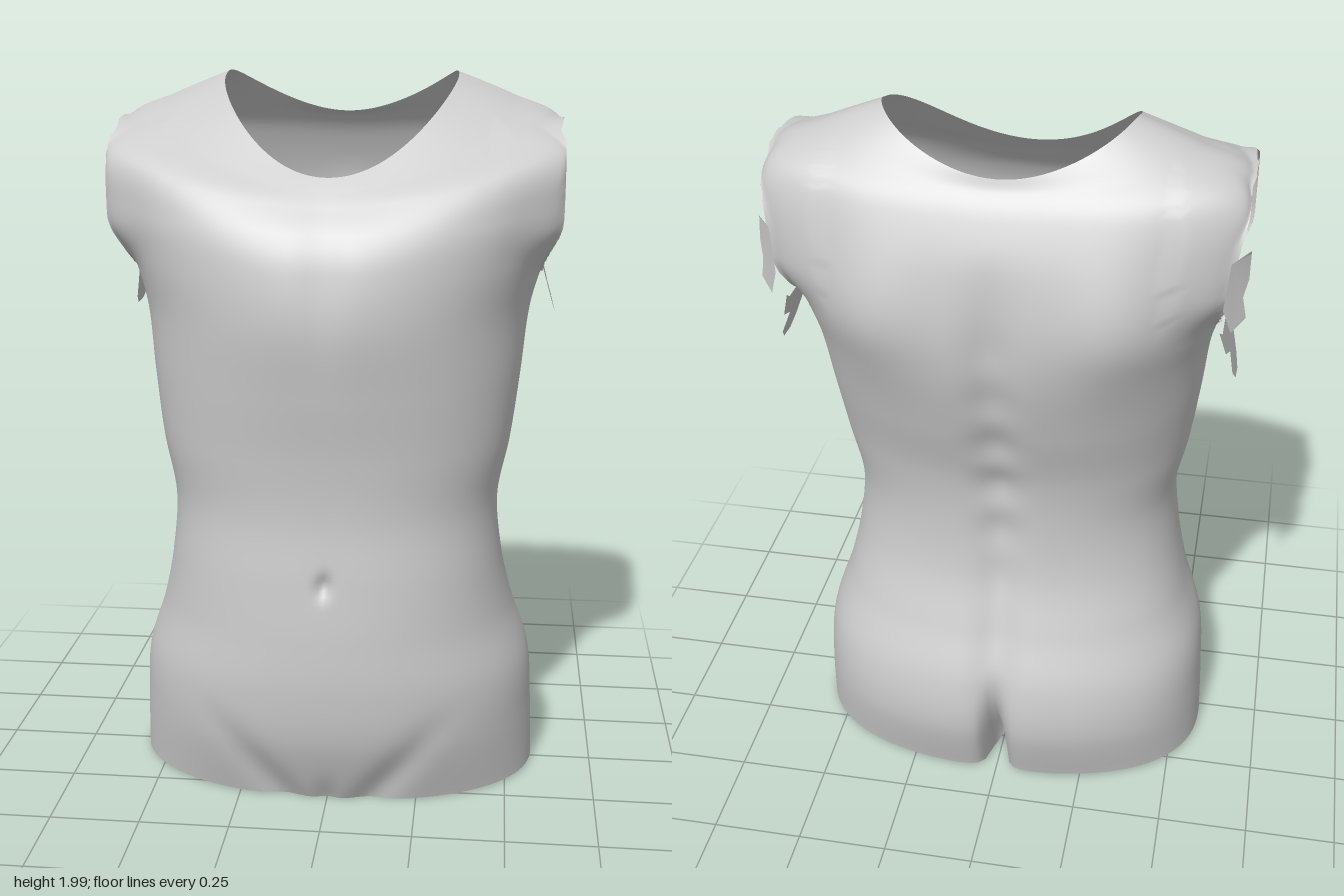
import * as THREE from 'three';

// Key rings, bottom to neck rim:
// [y front, y side, y back, half width, z front, z back, z of widest point, front roundness, back roundness]
const RINGS = [
  [0.012, 0.02, 0.02, 0.577, 0.32, -0.395, -0.03, 2.2, 2.4],
  [0.2, 0.2, 0.2, 0.57, 0.39, -0.443, -0.03, 2.2, 2.4],
  [0.36, 0.36, 0.36, 0.557, 0.413, -0.433, -0.02, 2.2, 2.4],
  [0.52, 0.52, 0.52, 0.505, 0.412, -0.375, 0.0, 2.2, 2.4],
  [0.68, 0.68, 0.68, 0.47, 0.4, -0.326, 0.02, 2.3, 2.4],
  [0.85, 0.85, 0.85, 0.456, 0.387, -0.315, 0.03, 2.3, 2.4],
  [1.02, 1.02, 1.02, 0.487, 0.398, -0.333, 0.02, 2.3, 2.4],
  [1.2, 1.2, 1.2, 0.51, 0.426, -0.387, 0.0, 2.2, 2.4],
  [1.38, 1.38, 1.38, 0.53, 0.452, -0.432, -0.02, 2.1, 2.5],
  [1.52, 1.53, 1.53, 0.57, 0.438, -0.442, -0.04, 2.2, 2.7],
  [1.61, 1.7, 1.68, 0.603, 0.403, -0.42, -0.06, 2.35, 2.8],
  [1.68, 1.87, 1.8, 0.605, 0.345, -0.375, -0.08, 2.45, 2.8],
  [1.72, 1.94, 1.86, 0.47, 0.305, -0.335, -0.1, 2.1, 2.5],
  [1.75, 2.0, 1.88, 0.32, 0.272, -0.3, -0.1, 1.9, 2.4],
];
const COLUMNS = 200, STEPS = 12, PEAK = -0.25;
const bump = (d, w) => Math.exp(-((d / w) ** 2));
const rise = THREE.MathUtils.smoothstep;

// Smooth blend between neighbouring key rings
function ringAt(t) {
  const last = RINGS.length - 1, k = Math.min(Math.floor(t), last - 1), f = t - k;
  const [p, q, r, s] = [k - 1, k, k + 1, k + 2].map((i) => RINGS[THREE.MathUtils.clamp(i, 0, last)]);
  return q.map((v, i) => {
    const m0 = (r[i] - p[i]) / 2, m1 = (s[i] - v) / 2;
    return v + f * (m0 + f * (3 * (r[i] - v) - 2 * m0 - m1 + f * (2 * (v - r[i]) + m0 + m1)));
  });
}

// Body relief: spine, shoulder blades, cleft, navel, chest and groin folds (positive pushes inward)
function relief(x, y, front) {
  const ax = Math.abs(x);
  if (front) {
    const navel = 0.022 * bump(x, 0.018) * bump(y - 0.68, 0.03);
    const chest = 0.01 * bump(x, 0.06) * bump(y - 1.5, 0.2);
    const groin = 0.02 * bump(ax - 0.11 - 0.7 * y, 0.06) * (1 - rise(y, 0.05, 0.36));
    const crotch = 0.015 * bump(x, 0.03) * bump(y, 0.07);
    return navel + chest + groin + crotch;
  }
  const ripple = 0.006 * Math.cos(y * 38) * bump(y - 1.05, 0.3);
  const spine = (0.024 + ripple) * bump(x, 0.06) * (1 - rise(y, 1.45, 1.75));
  const blades = -0.028 * bump(ax - 0.31, 0.13) * bump(y - 1.54, 0.17);
  const cleft = 0.13 * bump(x, 0.024) * (1 - rise(y, 0.02, 0.42));
  return spine + blades + cleft;
}

// Distance from the arm opening: below 1 is inside; z and y are the side plane
const HOLE = { y: 1.675, z: -0.075, ry: 0.205, rz: 0.233, n: 2.5 };
function holeDistance(x, y, z) {
  if (Math.abs(x) < 0.42) return 9;
  const u = Math.abs((y - HOLE.y) / HOLE.ry), v = Math.abs((z - HOLE.z) / HOLE.rz);
  return (u ** HOLE.n + v ** HOLE.n) ** (1 / HOLE.n);
}

function torsoGeometry() {
  const rows = (RINGS.length - 1) * STEPS, pos = [], cut = [], index = [];
  for (let j = 0; j <= rows; j++) {
    const [yf, ys, yb, a, zf, zb, z0, nf, nb] = ringAt(j / STEPS);
    for (let i = 0; i < COLUMNS; i++) {
      const t = (i / COLUMNS) * Math.PI * 2, c = Math.cos(t), s = Math.sin(t);
      const front = s >= 0, n = front ? nf : nb;
      const r = (Math.abs(c) ** n + Math.abs(s) ** n) ** (-1 / n);
      let x = a * r * c;
      // Height runs from front to back with its peak a little behind the middle
      const fore = s > PEAK, k = ((s - PEAK) / (fore ? 1 - PEAK : 1 + PEAK)) ** 2;
      let y = ys + ((fore ? yf : yb) - ys) * k;
      let z = z0 + (front ? zf - z0 : z0 - zb) * r * s;
      z -= Math.sign(s) * relief(x, y, front) * Math.min(1, Math.abs(s) * 1.5);
      const d = holeDistance(x, y, z);
      cut.push(d < 0.86);
      // Flare the front and back edges of the arm opening outward
      const flare = 0.05 * bump(d - 1, 0.28) * rise(Math.abs(z - HOLE.z), 0.1, 0.22) * rise(y, 1.48, 1.62);
      x = Math.sign(x) * Math.min(Math.abs(x) + flare, Math.max(Math.abs(x), 0.608));
      // Snap the vertices just inside the arm opening onto its edge
      if (d >= 0.86 && d < 1) {
        y = HOLE.y + (y - HOLE.y) / d;
        z = HOLE.z + (z - HOLE.z) / d;
      }
      pos.push(x, y, z);
    }
  }
  const addFace = (...f) => { if (!f.some((v) => cut[v])) index.push(...f); };
  for (let j = 0; j < rows; j++) {
    for (let i = 0; i < COLUMNS; i++) {
      const p = j * COLUMNS + i, q = j * COLUMNS + ((i + 1) % COLUMNS);
      addFace(p, p + COLUMNS, q);
      addFace(q, p + COLUMNS, q + COLUMNS);
    }
  }
  const g = new THREE.BufferGeometry();
  g.setAttribute('position', new THREE.Float32BufferAttribute(pos, 3));
  g.setIndex(index);
  g.computeVertexNormals();
  return g;
}

// Thin ragged scrap at the arm opening, outlined as [z, y] and placed by a rule for x
function scrapGeometry(points, side, xAt) {
  const g = new THREE.ShapeGeometry(new THREE.Shape(points.map(([z, y]) => new THREE.Vector2(z, y))));
  const p = g.attributes.position;
  for (let i = 0; i < p.count; i++) {
    const z = p.getX(i), y = p.getY(i);
    p.setXYZ(i, side * xAt(y, z), y, z);
  }
  g.computeVertexNormals();
  return g;
}

export function createModel() {
  const model = new THREE.Group();
  model.name = 'torso';
  const grey = new THREE.MeshStandardMaterial({ color: 0xcccccc, side: THREE.DoubleSide });
  grey.name = 'grey';
  const add = (name, geometry) => {
    const mesh = new THREE.Mesh(geometry, grey);
    mesh.name = name;
    model.add(mesh);
  };

  add('body', torsoGeometry());

  // Torn scraps below and behind each arm opening
  const lower = [[0.0, 1.5], [-0.05, 1.44], [-0.11, 1.36], [-0.15, 1.335], [-0.21, 1.34], [-0.24, 1.37],
    [-0.2, 1.41], [-0.27, 1.44], [-0.29, 1.51], [-0.25, 1.485], [-0.1, 1.48], [-0.04, 1.5]];
  const rear = [[-0.32, 1.53], [-0.29, 1.56], [-0.3, 1.62], [-0.28, 1.66], [-0.27, 1.72], [-0.29, 1.74],
    [-0.33, 1.72], [-0.34, 1.6]];
  for (const [word, side] of [['left', 1], ['right', -1]]) {
    add(word + 'LowerScrap', scrapGeometry(lower, side, (y) => 0.602 - 0.28 * (y - 1.34)));
    add(word + 'RearScrap', scrapGeometry(rear, side, (y, z) => 0.615 + 1.1 * Math.min(0, z + 0.29)));
  }
  return model;
}
